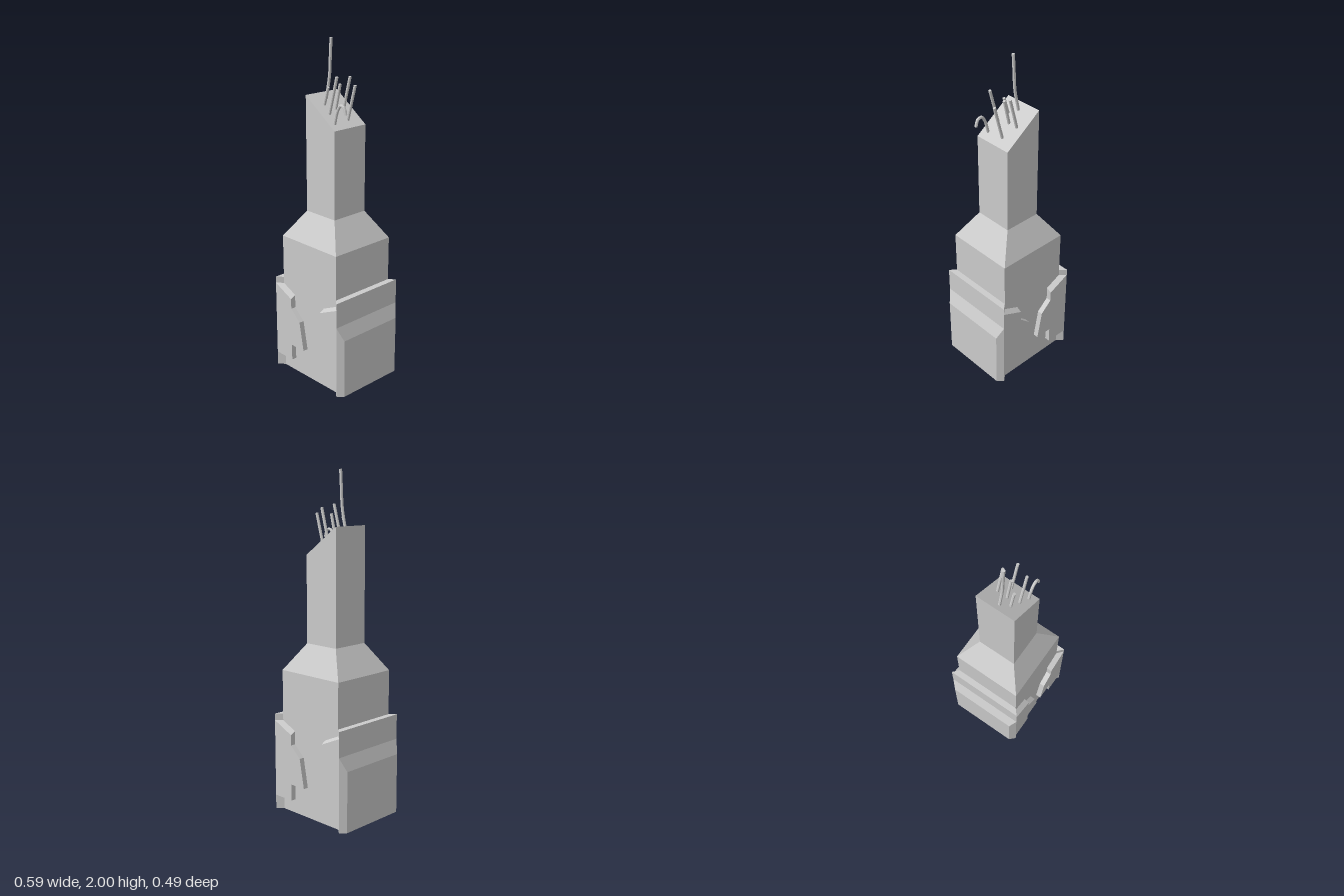
import * as THREE from 'three';

const material = new THREE.MeshStandardMaterial({
  color: 0xcccccc, flatShading: true, side: THREE.DoubleSide,
});

function addMesh(parent, name, geometry) {
  const mesh = new THREE.Mesh(geometry, material);
  mesh.name = name;
  parent.add(mesh);
  return mesh;
}

// Joins rings of [x, y, z] points, ordered counter-clockwise from above, with flat walls
function loft(rings, capped) {
  const pos = [];
  const tri = (a, b, c) => pos.push(...a, ...b, ...c);
  for (let r = 0; r < rings.length - 1; r++) {
    const low = rings[r], high = rings[r + 1], n = low.length;
    for (let i = 0; i < n; i++) {
      const j = (i + 1) % n;
      tri(low[i], low[j], high[j]);
      tri(low[i], high[j], high[i]);
    }
  }
  if (capped) {
    const top = rings[rings.length - 1];
    for (let i = 1; i < top.length - 1; i++) tri(top[0], top[i], top[i + 1]);
  }
  const geometry = new THREE.BufferGeometry();
  geometry.setAttribute('position', new THREE.Float32BufferAttribute(pos, 3));
  geometry.computeVertexNormals();
  return geometry;
}

// Ring with a bulge on either side: out = outer x, depth = z of the outer face
function sleeveRing(y, out, depth, mid = 0.262, midDepth = 0.245) {
  const half = [
    [0.225, 0.213], [mid, midDepth], [out, depth],
    [out, -depth], [mid, -midDepth], [0.225, -0.213],
  ];
  return [...half, ...half.map(([x, z]) => [-x, -z])].map(([x, z]) => [x, y, z]);
}

// Rectangular ring; slope tilts it along x
function boxRing(y, w, d, slope = 0) {
  return [[w, d], [w, -d], [-w, -d], [-w, d]].map(([x, z]) => [x, y + slope * x, z]);
}

// Stepped clip plate with a sloped upper edge
function clipPlateGeometry() {
  const outline = [
    [0.262, 0.085], [0.262, 0.55], [0.125, 0.487], [0.125, 0.425],
    [0.053, 0.36], [0.02, 0.185], [0.125, 0.185], [0.125, 0.085],
  ];
  const shape = new THREE.Shape(outline.map(([x, y]) => new THREE.Vector2(x, y)));
  const geometry = new THREE.ExtrudeGeometry(shape, { depth: 0.032, bevelEnabled: false });
  const p = geometry.attributes.position;
  for (let i = 0; i < p.count; i++) {
    // raise the rear of the upper edge
    if (p.getZ(i) < 0.01 && p.getY(i) > 0.48) p.setY(i, p.getY(i) + 0.018);
  }
  geometry.translate(0, 0, 0.213);
  geometry.computeVertexNormals();
  return geometry;
}

// Mirrors a geometry across x, keeping its faces outward
function mirrorX(geometry) {
  const g = geometry.index ? geometry.toNonIndexed() : geometry.clone();
  g.scale(-1, 1, 1);
  const p = g.attributes.position;
  const a = new THREE.Vector3(), b = new THREE.Vector3();
  for (let i = 0; i < p.count; i += 3) {
    a.fromBufferAttribute(p, i + 1);
    b.fromBufferAttribute(p, i + 2);
    p.setXYZ(i + 1, b.x, b.y, b.z);
    p.setXYZ(i + 2, a.x, a.y, a.z);
  }
  g.computeVertexNormals();
  return g;
}

// Wire along points in the plane of constant z, with a closed tip
function addWire(parent, z, points) {
  const wire = new THREE.Group();
  wire.name = 'wire';
  const path = points.map(([x, y]) => new THREE.Vector3(x, y, z));
  const curve = new THREE.CatmullRomCurve3(path);
  const radius = 0.0085;
  addMesh(wire, 'wireStrand', new THREE.TubeGeometry(curve, points.length > 2 ? 14 : 1, radius, 8));
  const tip = addMesh(wire, 'wireTip', new THREE.CircleGeometry(radius, 8));
  tip.position.copy(curve.getPoint(1));
  tip.quaternion.setFromUnitVectors(new THREE.Vector3(0, 0, 1), curve.getTangent(1));
  parent.add(wire);
}

export function createModel() {
  const model = new THREE.Group();
  model.name = 'cableConnector';

  // Hollow lower sleeve with grip panels on both sides, open below
  addMesh(model, 'sleeve', loft([
    sleeveRing(0, 0.295, 0.213),
    sleeveRing(0.36, 0.295, 0.213),
    sleeveRing(0.44, 0.262, 0.245),
    sleeveRing(0.59, 0.262, 0.245),
    sleeveRing(0.59, 0.225, 0.213, 0.225, 0.213),
  ], false));

  // Upper body, taper and neck with an oblique cut
  addMesh(model, 'neck', loft([
    boxRing(0.59, 0.225, 0.213),
    boxRing(0.855, 0.225, 0.213),
    boxRing(1.015, 0.115, 0.119),
    boxRing(1.608, 0.115, 0.119, -0.72),
  ], true));

  // Clip plates on the front and back
  const left = clipPlateGeometry();
  const right = mirrorX(left);
  for (const [face, angle] of [['front', 0], ['back', Math.PI]]) {
    const clips = new THREE.Group();
    clips.name = face + 'Clips';
    clips.rotation.y = angle;
    addMesh(clips, 'clipPlate', left);
    addMesh(clips, 'clipPlate', right);
    model.add(clips);
  }

  // Loose wires leaving the cut end
  const wires = new THREE.Group();
  wires.name = 'wires';
  addWire(wires, 0, [[-0.078, 1.655], [-0.05, 1.79], [-0.043, 1.9], [-0.037, 2.0]]);
  addWire(wires, -0.065, [[-0.005, 1.6], [0.046, 1.79]]);
  addWire(wires, -0.028, [[0.066, 1.55], [0.123, 1.757]]);
  addWire(wires, -0.004, [[-0.006, 1.6], [0.031, 1.755]]);
  addWire(wires, 0.045, [[-0.045, 1.63], [-0.013, 1.738]]);
  addWire(wires, 0.061, [[0.013, 1.59], [0.073, 1.807]]);
  addWire(wires, 0.078, [[0.072, 1.545], [0.095, 1.625], [0.12, 1.66], [0.145, 1.655], [0.16, 1.615]]);
  model.add(wires);

  return model;
}
